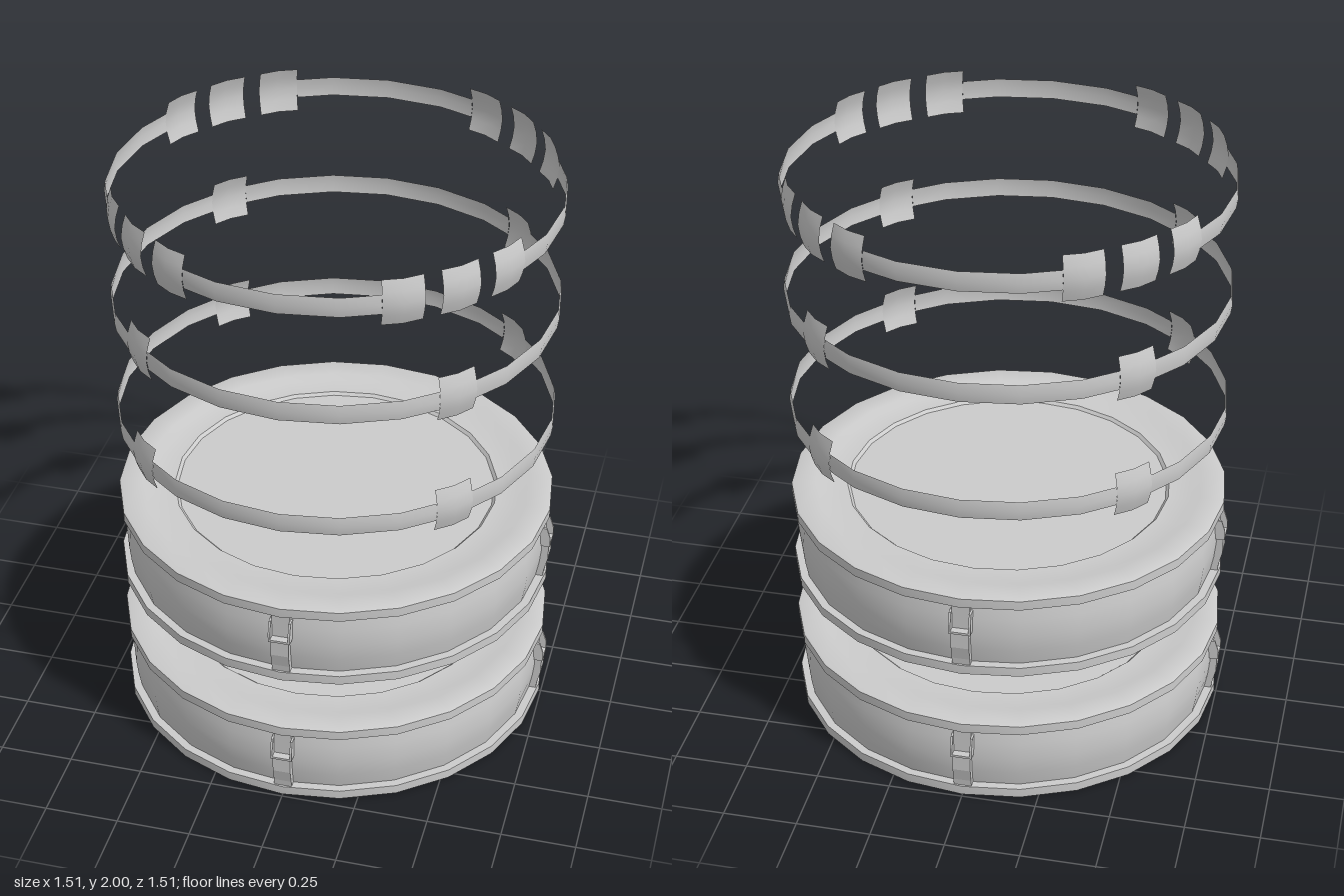
import * as THREE from 'three';
import { toCreasedNormals } from 'three/addons/utils/BufferGeometryUtils.js';

const SIDES = 24;
const STEP = 360 / SIDES;
const RAD = Math.PI / 180;
const grey = new THREE.MeshStandardMaterial({ color: 0xcccccc });
const sheet = new THREE.MeshStandardMaterial({ color: 0xcccccc, side: THREE.DoubleSide });

function add(parent, name, geometry, material = grey) {
  const mesh = new THREE.Mesh(geometry, material);
  mesh.name = name;
  parent.add(mesh);
  return mesh;
}

// Thin curved strip between two angles (degrees), following the 24-sided ring.
// profile: [radius, y] pairs from bottom to top.
function strip(a0, a1, profile) {
  const angles = [a0];
  for (let a = (Math.floor(a0 / STEP) + 1) * STEP; a < a1 - 1e-6; a += STEP) angles.push(a);
  angles.push(a1);
  const pos = [], index = [], n = profile.length;
  angles.forEach((a, i) => {
    const off = ((a % STEP) + STEP) % STEP - STEP / 2;
    const k = Math.cos(STEP / 2 * RAD) / Math.cos(off * RAD);
    profile.forEach(([r, y], j) => {
      pos.push(Math.sin(a * RAD) * r * k, y, Math.cos(a * RAD) * r * k);
      if (i < angles.length - 1 && j < n - 1) {
        const p = i * n + j;
        index.push(p, p + n, p + 1, p + n, p + n + 1, p + 1);
      }
    });
  });
  const g = new THREE.BufferGeometry();
  g.setAttribute('position', new THREE.Float32BufferAttribute(pos, 3));
  g.setIndex(index);
  g.computeVertexNormals();
  return g;
}

// Radial side profile extruded to a width, facing +x
function slab(points, width, z = 0) {
  const shape = new THREE.Shape(points.map(([x, y]) => new THREE.Vector2(x, y)));
  const g = new THREE.ExtrudeGeometry(shape, { depth: width, bevelEnabled: false });
  return g.translate(0, 0, z - width / 2);
}

function createDrum(y) {
  const drum = new THREE.Group();
  drum.name = 'drum';
  drum.position.y = y;

  // Lower half: recessed plate, sloped step, rim, bulging wall; mirrored for the top
  const half = [
    [0, 0.02], [0.543, 0.02], [0.553, 0.01], [0.63, 0.01], [0.66, 0], [0.736, 0],
    [0.743, 0.003], [0.743, 0.036], [0.715, 0.036], [0.725, 0.09],
  ];
  const mirrored = half.map(([r, h]) => [r, 0.3 - h]).reverse();
  const profile = [...half, [0.731, 0.15], ...mirrored].map(([r, h]) => new THREE.Vector2(r, h));
  add(drum, 'drumBody', toCreasedNormals(new THREE.LatheGeometry(profile, SIDES), 25 * RAD));

  // Four upright ribs, each with a U-shaped catch
  const rib = slab([[0.7, 0.034], [0.735, 0.034], [0.738, 0.06], [0.75, 0.11], [0.75, 0.17],
    [0.73, 0.17], [0.73, 0.266], [0.7, 0.266]], 0.06);
  const rail = [[0.7, 0.167], [0.755, 0.167], [0.755, 0.2], [0.742, 0.24], [0.7, 0.24]];
  for (let i = 0; i < 4; i++) {
    const side = new THREE.Group();
    side.name = 'ribAndCatch';
    side.rotation.y = i * Math.PI / 2;
    add(side, 'rib', rib);
    for (const s of [-1, 1]) add(side, 'catchRail', slab(rail, 0.007, s * 0.033));
    add(side, 'catchBar', new THREE.BoxGeometry(0.055, 0.008, 0.073).translate(0.7275, 0.17, 0));
    drum.add(side);
  }
  return drum;
}

// Hoop with bowed tabs on the diagonals; a split hoop is open between its tabs
function createHoop(y, split) {
  const hoop = new THREE.Group();
  hoop.name = split ? 'splitHoop' : 'hoop';
  hoop.position.y = y;
  const band = [[0.73, -0.033], [0.735, 0], [0.73, 0.033]];
  const tab = [[0.718, -0.077], [0.73, -0.04], [0.736, 0], [0.73, 0.04], [0.718, 0.077]];
  const tabAngles = split ? [30, 45, 60] : [45];
  for (let q = 0; q < 360; q += 90) {
    const reach = split ? 24.75 : 39.75;
    add(hoop, 'band', strip(q - reach, q + reach, band), sheet);
    for (const a of tabAngles) add(hoop, 'tab', strip(q + a - 5.25, q + a + 5.25, tab), sheet);
  }
  return hoop;
}

export function createModel() {
  const model = new THREE.Group();
  model.name = 'drumsAndHoops';
  model.add(createDrum(0), createDrum(0.5));
  model.add(createHoop(1.13, false), createHoop(1.547, false), createHoop(1.923, true));
  return model;
}
